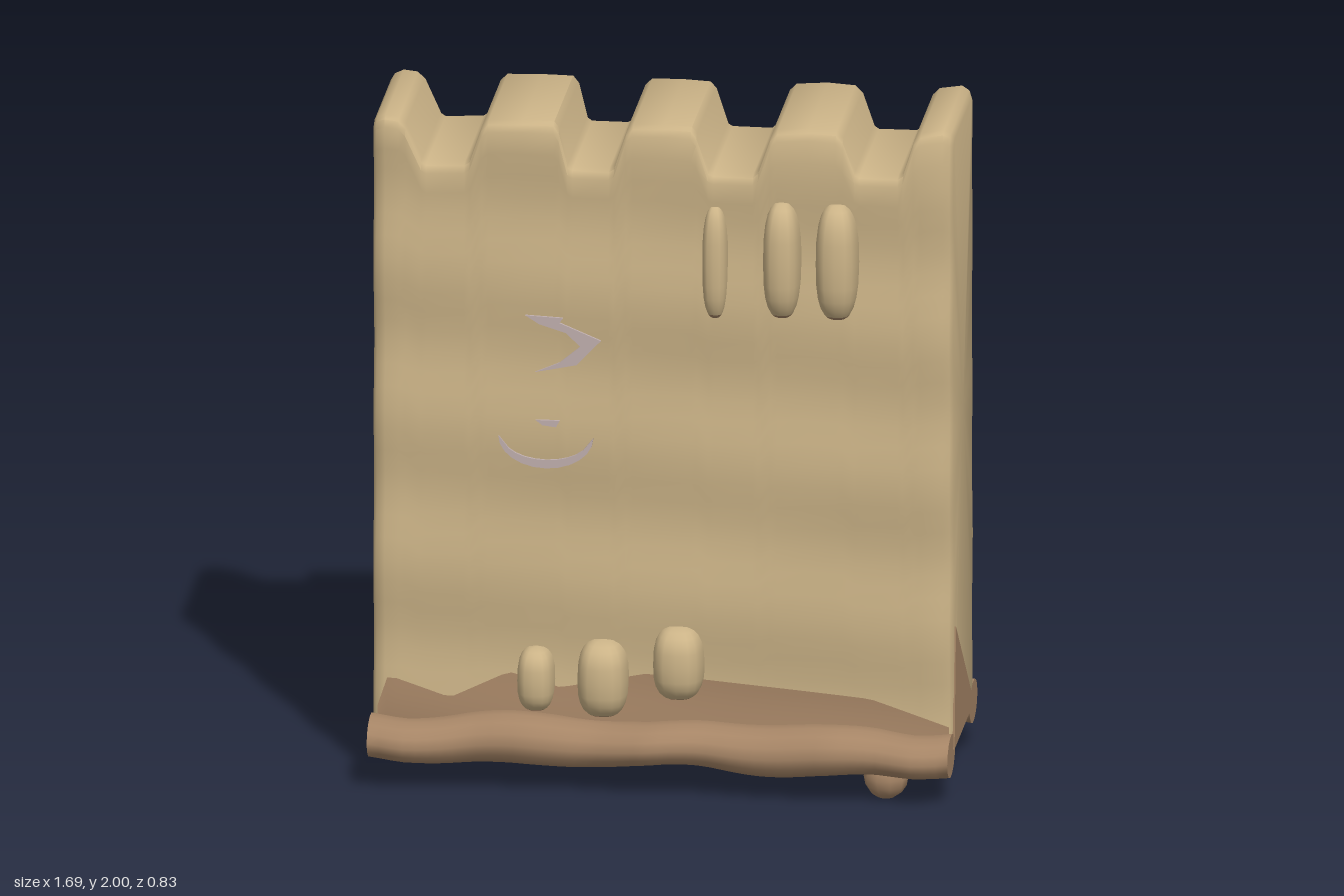
import * as THREE from 'three';
import { toCreasedNormals } from 'three/addons/utils/BufferGeometryUtils.js';

const mat = (name, color, side = THREE.FrontSide) => {
  const m = new THREE.MeshStandardMaterial({ color, side });
  m.name = name;
  return m;
};

// Linear interpolation through [x, value] pairs
function lerpAt(points, x) {
  if (x <= points[0][0]) return points[0][1];
  for (let i = 1; i < points.length; i++) {
    const [x0, v0] = points[i - 1], [x1, v1] = points[i];
    if (x <= x1) return v0 + (v1 - v0) * (x - x0) / (x1 - x0);
  }
  return points[points.length - 1][1];
}

// Surface through rings of [x, y, z] running along x, closed at both ends
function loft(rings, crease) {
  const n = rings[0].length, pos = rings.flat(2), idx = [];
  for (let i = 0; i < rings.length - 1; i++) {
    for (let j = 0; j < n; j++) {
      const k = (j + 1) % n;
      const a = i * n + j, b = a + n, c = (i + 1) * n + k, d = i * n + k;
      idx.push(a, b, c, a, c, d);
    }
  }
  [0, rings.length - 1].forEach((r, end) => {
    const mid = [0, 1, 2].map(k => rings[r].reduce((s, p) => s + p[k], 0) / n);
    const c = pos.length / 3;
    pos.push(...mid);
    for (let j = 0; j < n; j++) {
      const a = r * n + j, b = r * n + (j + 1) % n;
      idx.push(c, ...(end ? [b, a] : [a, b]));
    }
  });
  const g = new THREE.BufferGeometry();
  g.setAttribute('position', new THREE.Float32BufferAttribute(pos, 3));
  g.setIndex(idx);
  g.computeVertexNormals();
  return toCreasedNormals(g, crease);
}

// Half thickness of the gently rippled wall
const halfDepth = (x, y) => 0.25 + 0.009 * Math.sin(y * 14 + x * 1.5) + 0.004 * Math.sin(y * 5 - x * 6);

// Battlement outline
const crenels = [
  [-0.845, 1.97], [-0.835, 1.985], [-0.81, 1.995], [-0.77, 1.99], [-0.75, 1.97], [-0.705, 1.865], [-0.69, 1.855],
  [-0.58, 1.86], [-0.565, 1.87], [-0.53, 1.97], [-0.51, 1.99], [-0.41, 1.992], [-0.32, 1.99], [-0.305, 1.97],
  [-0.28, 1.865], [-0.265, 1.855], [-0.16, 1.855], [-0.145, 1.865], [-0.11, 1.97], [-0.09, 1.99], [0, 1.992],
  [0.08, 1.988], [0.095, 1.97], [0.13, 1.865], [0.145, 1.857], [0.26, 1.857], [0.275, 1.87], [0.31, 1.97],
  [0.33, 1.99], [0.42, 1.996], [0.5, 1.99], [0.52, 1.97], [0.555, 1.875], [0.57, 1.865], [0.68, 1.865],
  [0.695, 1.875], [0.725, 1.97], [0.745, 1.99], [0.81, 2], [0.83, 1.99], [0.84, 1.97],
];

function wallGeometry() {
  const rings = crenels.map(([x, top], i) => {
    const e = Math.min(i, crenels.length - 1 - i);
    const inset = e === 0 ? 0.025 : e === 1 ? 0.007 : 0;
    const half = [];
    for (let r = 0; r <= 28; r++) {
      const y = 0.14 + (top - 0.03 - 0.14) * r / 28;
      half.push([y, halfDepth(x, y) - inset, halfDepth(-x, y) - inset]);
    }
    const [, f, b] = half[28];
    half.push([top - 0.009, f - 0.009, b - 0.009], [top, f - 0.03, b - 0.03]);
    return [
      ...half.map(([y, front]) => [x, y, front]),
      ...half.reverse().map(([y, , back]) => [x, y, -back]),
    ];
  });
  return loft(rings, 0.9);
}

// Lumpy earth roll along the foot of one face
function rollGeometry(edge, s) {
  const rings = [];
  for (let i = 0; i <= 48; i++) {
    const x = -0.845 + 1.685 * i / 48;
    const c = s * (lerpAt(edge, x) - 0.095);
    const y = 0.14 + 0.008 * Math.sin(x * 13 + s);
    const ry = 0.068 + 0.007 * Math.sin(x * 8 - 1.5);
    rings.push(Array.from({ length: 14 }, (_, k) => {
      const a = k / 14 * Math.PI * 2;
      return [x, y + ry * Math.sin(a), c + 0.095 * Math.cos(a)];
    }));
  }
  return loft(rings, 1);
}

// Jagged earth stain hugging the wall
function stainGeometry(line, s) {
  const g = new THREE.PlaneGeometry(1.66, 1, 60, 8);
  const p = g.attributes.position;
  for (let i = 0; i < p.count; i++) {
    const x = p.getX(i), y = 0.14 + (lerpAt(line, x) - 0.14) * (p.getY(i) + 0.5);
    p.setXYZ(i, x, y, s * (halfDepth(s * x, y) + 0.005));
  }
  g.computeVertexNormals();
  return g;
}

// Blocky rounded stone cap between two polar angles
function stoneGeometry(w, h, d, t0, t1) {
  const g = new THREE.SphereGeometry(1, 16, 10, 0, Math.PI * 2, t0, t1 - t0);
  const p = g.attributes.position;
  const box = v => Math.sign(v) * Math.pow(Math.abs(v), 0.72);
  for (let i = 0; i < p.count; i++) {
    p.setXYZ(i, box(p.getX(i)) * w / 2, box(p.getY(i)) * h / 2, box(p.getZ(i)) * d);
  }
  g.computeVertexNormals();
  return g;
}

function plate(points, depth = 0.008) {
  const shape = new THREE.Shape(points.map(p => new THREE.Vector2(...p)));
  return new THREE.ExtrudeGeometry(shape, { depth, bevelEnabled: false });
}

export function createModel() {
  const sand = mat('sandstone', 0xcbb387);
  const earth = mat('earth', 0xa68566, THREE.DoubleSide);
  const pale = mat('pale mauve', 0xbfaead, THREE.DoubleSide);
  const model = new THREE.Group();
  model.name = 'castleWall';
  const add = (name, geo, material, x = 0, y = 0, z = 0) => {
    const m = new THREE.Mesh(geo, material);
    m.name = name;
    m.position.set(x, y, z);
    model.add(m);
    return m;
  };

  add('wall', wallGeometry(), sand);
  add('underside', new THREE.BoxGeometry(1.67, 0.008, 0.5), earth, 0, 0.137, 0);

  // Earth at the base
  add('frontRoll', rollGeometry([[-0.84, 0.4], [-0.75, 0.415], [-0.55, 0.375], [-0.38, 0.385], [-0.2, 0.365],
    [-0.03, 0.395], [0.12, 0.37], [0.3, 0.385], [0.5, 0.405], [0.62, 0.385], [0.73, 0.4], [0.84, 0.38]], 1), earth);
  add('backRoll', rollGeometry([[-0.84, 0.38], [-0.7, 0.39], [-0.5, 0.42], [-0.33, 0.38], [-0.17, 0.36],
    [0, 0.39], [0.22, 0.42], [0.4, 0.385], [0.5, 0.385], [0.65, 0.355], [0.75, 0.365], [0.84, 0.35]], -1), earth);
  add('frontStain', stainGeometry([[-0.83, 0.22], [-0.8, 0.31], [-0.62, 0.25], [-0.45, 0.33], [-0.3, 0.29],
    [-0.05, 0.34], [0.1, 0.33], [0.6, 0.285], [0.83, 0.21]], 1), earth);
  add('backStain', stainGeometry([[-0.83, 0.21], [-0.45, 0.22], [0, 0.32], [0.3, 0.26], [0.6, 0.26], [0.83, 0.34]], -1), earth);
  const side = plate([[-0.235, 0.14], [0.235, 0.14], [-0.2, 0.5]], 0.006).rotateY(Math.PI / 2);
  add('sideStain', side, earth, 0.838);
  add('footLump', new THREE.SphereGeometry(1, 10, 8).scale(0.065, 0.065, 0.06), earth, 0.65, 0.065, 0.28);

  // Raised stones: x, bottom, top, width, reach, face
  const stones = [
    [0.15, 1.42, 1.76, 0.075, 0.3, 1], [0.345, 1.43, 1.78, 0.11, 0.33, 1], [0.505, 1.43, 1.78, 0.125, 0.33, 1],
    [-0.37, 0.22, 0.41, 0.11, 0.32, 1], [-0.175, 0.21, 0.44, 0.15, 0.34, 1], [0.045, 0.27, 0.49, 0.15, 0.34, 1],
    [0.62, 1.43, 1.78, 0.11, 0.31, -1], [-0.34, 1.45, 1.78, 0.1, 0.31, -1], [-0.45, 1.45, 1.77, 0.08, 0.295, -1],
    [0.62, 0.23, 0.43, 0.1, 0.31, -1], [0.5, 0.29, 0.49, 0.11, 0.32, -1], [0.355, 0.24, 0.46, 0.13, 0.345, -1],
    [0.02, 0.29, 0.51, 0.14, 0.35, -1],
  ];
  for (const [x, y0, y1, w, reach, s] of stones) {
    const d = reach - 0.235, cut = 2.62;
    add('stone', stoneGeometry(w, y1 - y0, d, 0, cut), sand, x, (y0 + y1) / 2, s * 0.235);
    add('stoneFoot', stoneGeometry(w, y1 - y0, d, cut, Math.PI), earth, x, (y0 + y1) / 2, s * 0.235);
  }
  add('backClod', new THREE.SphereGeometry(1, 8, 6).scale(0.05, 0.05, 0.08), earth, 0.19, 0.24, -0.25);

  // Pale inlays on the front
  add('beakInlay', plate([[-0.4, 1.415], [-0.29, 1.41], [-0.3, 1.395], [-0.18, 1.345], [-0.25, 1.27], [-0.37, 1.245],
    [-0.3, 1.275], [-0.24, 1.325], [-0.28, 1.365], [-0.36, 1.39]]), pale, 0, 0, 0.262);
  const arc = [];
  for (let i = 0; i <= 12; i++) {
    const a = Math.PI * (1 + i / 12);
    arc.push([-0.34 + 0.138 * Math.cos(a), 1.05 + 0.095 * Math.sin(a)]);
  }
  for (let i = 11; i > 0; i--) {
    const a = Math.PI * (1 + i / 12);
    arc.push([-0.34 + 0.125 * Math.cos(a), 1.045 + 0.065 * Math.sin(a)]);
  }
  add('smileInlay', plate(arc), pale, 0, 0, 0.262);
  add('smallInlay', plate([[-0.37, 1.1], [-0.3, 1.1], [-0.31, 1.08], [-0.35, 1.085]]), pale, 0, 0, 0.262);

  // Shard standing out of the back
  const shard = plate([[0, 0.08], [-0.1, 0.06], [-0.18, -0.01], [-0.1, -0.07], [0, -0.09], [-0.05, -0.01]]);
  add('backShard', shard, pale, 0.37, 1.1, -0.25).rotation.y = -0.42;

  return model;
}
